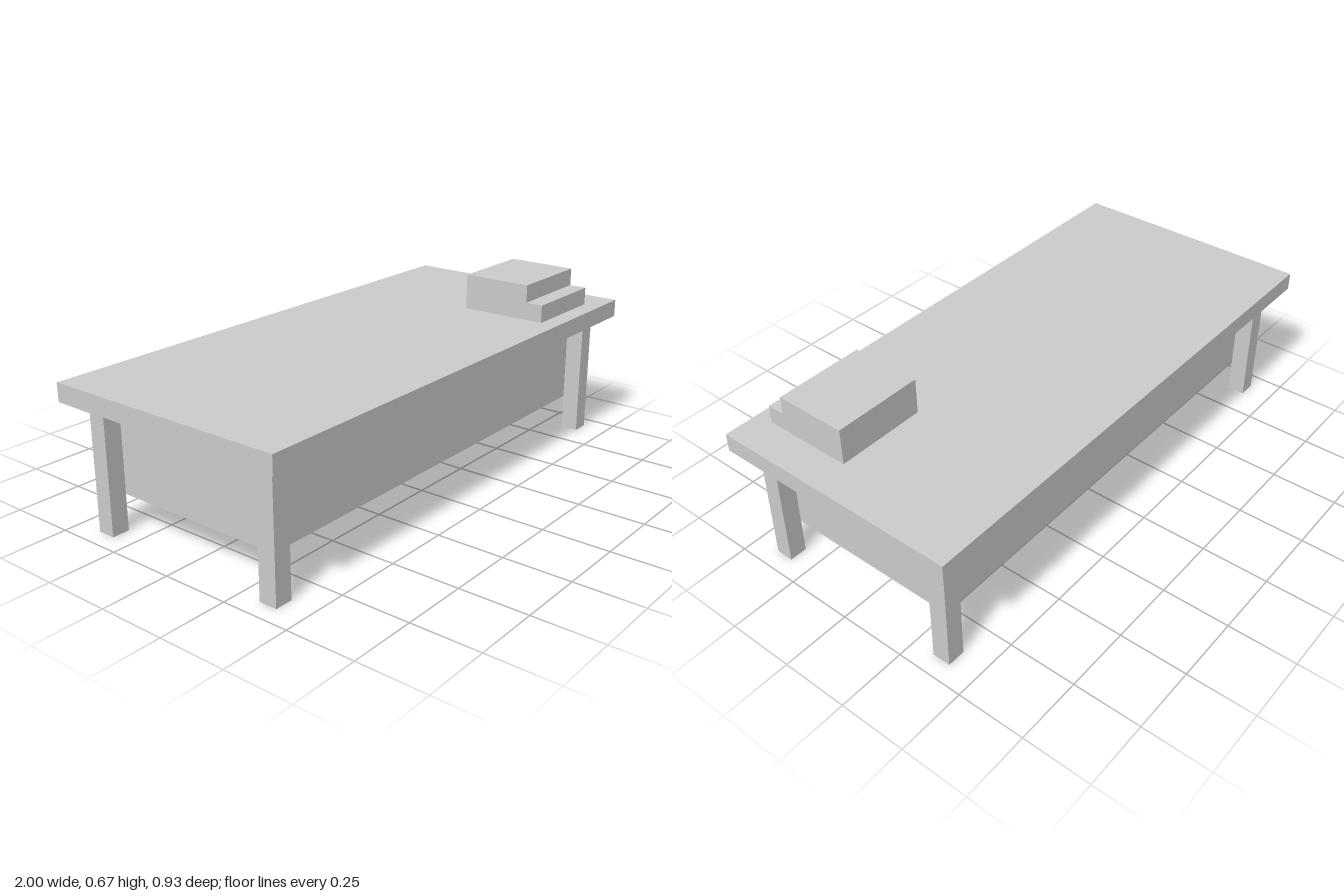
import * as THREE from 'three';

const U = 1 / 15; // basic board thickness
const material = new THREE.MeshStandardMaterial({ color: 0xcccccc, flatShading: true });

function add(parent, name, geometry, x = 0, y = 0, z = 0) {
  const mesh = new THREE.Mesh(geometry, material);
  mesh.name = name;
  mesh.position.set(x, y, z);
  parent.add(mesh);
  return mesh;
}

// Rectangle centred on the origin
function rectangle(ShapeType, w, d) {
  const pts = [[-w, -d], [w, -d], [w, d], [-w, d]];
  return new ShapeType(pts.map(([x, y]) => new THREE.Vector2(x / 2, y / 2)));
}

export function createModel() {
  const table = new THREE.Group();
  table.name = 'table';

  // Tabletop
  add(table, 'tableTop', new THREE.BoxGeometry(30 * U, U, 14 * U), 0, 7.5 * U, 0);

  // Four square legs, just outside the corners of the skirt
  for (const sx of [-1, 1]) {
    for (const sz of [-1, 1]) {
      const name = (sz > 0 ? 'front' : 'back') + (sx > 0 ? 'Left' : 'Right') + 'Leg';
      add(table, name, new THREE.BoxGeometry(U, 7 * U, U), sx * 13.5 * U, 3.5 * U, sz * 5.5 * U);
    }
  }

  // Skirt of four walls under the top
  const ring = rectangle(THREE.Shape, 26 * U, 10 * U);
  ring.holes.push(rectangle(THREE.Path, 24 * U, 8 * U));
  const skirt = new THREE.ExtrudeGeometry(ring, { depth: 5 * U, bevelEnabled: false });
  skirt.rotateX(-Math.PI / 2);
  add(table, 'skirt', skirt, 0, 2 * U, 0);

  // Floor panel recessed inside the skirt
  add(table, 'floorPanel', new THREE.BoxGeometry(24 * U, U, 8 * U), 0, 3.5 * U, 0);

  // Stepped block on the tabletop: low step in front, taller part behind
  const profile = new THREE.Shape(
    [[1, 0], [6, 0], [6, 1], [5, 1], [5, 2], [1, 2]].map(([z, y]) => new THREE.Vector2(z * U, y * U))
  );
  const block = new THREE.ExtrudeGeometry(profile, { depth: 5 * U, bevelEnabled: false });
  block.rotateY(-Math.PI / 2);
  add(table, 'steppedBlock', block, 13 * U, 8 * U, 0);

  return table;
}
